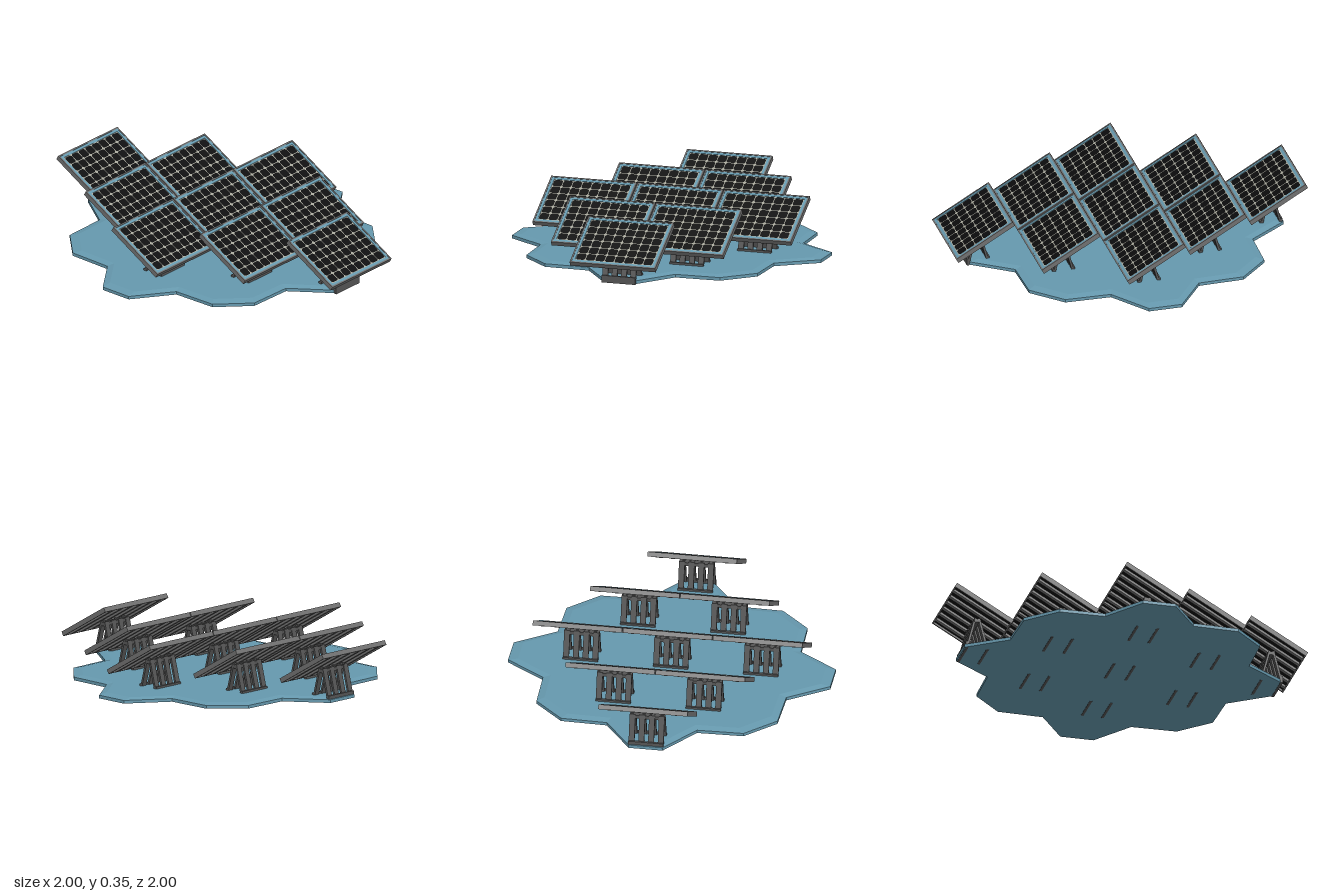
import * as THREE from 'three';

const mat = (color) => new THREE.MeshStandardMaterial({ color, flatShading: true });
const BLUE = mat(0x6699ae), STEEL = mat(0x555555), RIM = mat(0x707070);
const BLACK = mat(0x0b0b0c), LINE = mat(0xa8a89c);

const W = 0.56, D = 0.42, T = 0.03;   // panel width, slope length, thickness
const TILT = Math.PI / 6;

function add(parent, name, geometry, material, x = 0, y = 0, z = 0) {
  const mesh = new THREE.Mesh(geometry, material);
  mesh.name = name;
  mesh.position.set(x, y, z);
  parent.add(mesh);
  return mesh;
}

const rect = (w, h, Kind = THREE.Shape) => new Kind([
  [-w / 2, -h / 2], [w / 2, -h / 2], [w / 2, h / 2], [-w / 2, h / 2],
].map(([x, y]) => new THREE.Vector2(x, y)));

// Rectangular ring, used for the rim and the inner border
function ringGeometry(w, h, width, depth) {
  const shape = rect(w, h);
  shape.holes.push(rect(w - 2 * width, h - 2 * width, THREE.Path));
  return new THREE.ExtrudeGeometry(shape, { depth, bevelEnabled: false });
}

// Grid of square cells with clipped corners
function cellGeometry(cols, rows, w, h) {
  const shapes = [], px = w / cols, py = h / rows;
  const hx = px / 2 - 0.0022, hy = py / 2 - 0.0022, c = 0.009;
  for (let i = 0; i < cols; i++) {
    for (let j = 0; j < rows; j++) {
      const x = (i + 0.5) * px - w / 2, y = (j + 0.5) * py - h / 2;
      shapes.push(new THREE.Shape([
        [-hx + c, -hy], [hx - c, -hy], [hx, -hy + c], [hx, hy - c],
        [hx - c, hy], [-hx + c, hy], [-hx, hy - c], [-hx, -hy + c],
      ].map(([a, b]) => new THREE.Vector2(x + a, y + b))));
    }
  }
  return new THREE.ShapeGeometry(shapes);
}

const rimGeo = ringGeometry(W, D, 0.01, T);
const borderGeo = ringGeometry(W - 0.02, D - 0.02, 0.017, 0.012);
const sheetGeo = new THREE.BoxGeometry(W - 0.054, D - 0.054, 0.008);
const backGeo = new THREE.BoxGeometry(W - 0.02, D - 0.02, 0.006);
const cellsGeo = cellGeometry(8, 6, W - 0.058, D - 0.058);
const ribGeo = new THREE.BoxGeometry(0.028, D - 0.02, 0.014);

// Tilted panel, built facing +z and then leaned back
function createPanel() {
  const panel = new THREE.Group();
  panel.name = 'solarPanel';
  add(panel, 'panelRim', rimGeo, RIM, 0, 0, -T / 2);
  add(panel, 'panelBorder', borderGeo, BLUE, 0, 0, T / 2 - 0.014);
  add(panel, 'gridSheet', sheetGeo, LINE, 0, 0, T / 2 - 0.009);
  add(panel, 'cells', cellsGeo, BLACK, 0, 0, T / 2 - 0.0035);
  add(panel, 'backPlate', backGeo, BLACK, 0, 0, 0);
  for (let i = 0; i < 6; i++) {
    add(panel, 'backRib', ribGeo, RIM, (i - 2.5) * 0.086, 0, -0.01);
  }
  panel.rotation.x = -(Math.PI / 2 - TILT);
  panel.position.y = 0.235;
  return panel;
}

const footGeo = new THREE.BoxGeometry(0.22, 0.045, 0.016);
const beamGeo = new THREE.BoxGeometry(0.22, 0.022, 0.04);
const SPREAD = 0.065, TOP = 0.205, APEX = 0.012;
const strutGeo = new THREE.BoxGeometry(0.036, Math.hypot(TOP, SPREAD - APEX), 0.014);

// A-frame stand: two foot rails, four struts on each side, ridge beam
function createStand() {
  const stand = new THREE.Group();
  stand.name = 'stand';
  add(stand, 'ridgeBeam', beamGeo, STEEL, 0, TOP - 0.012, 0);
  for (const side of [-1, 1]) {
    add(stand, 'footRail', footGeo, STEEL, 0, 0.0225, side * SPREAD);
    for (let i = 0; i < 4; i++) {
      const strut = add(stand, 'strut', strutGeo, STEEL,
        (i - 1.5) * 0.061, TOP / 2 + 0.003, side * (SPREAD + APEX) / 2);
      strut.rotation.x = -side * Math.atan2(SPREAD - APEX, TOP);
    }
  }
  return stand;
}

// Lobed base plate with a shallow bevel on top
function createPlatform() {
  const platform = new THREE.Group();
  platform.name = 'platform';
  const quarter = [[0.13, -0.94], [0.34, -0.74], [0.64, -0.79], [0.79, -0.64], [0.74, -0.34], [0.94, -0.13]];
  const points = [];
  for (let q = 0; q < 4; q++) {
    for (const [x, z] of quarter) {
      points.push(new THREE.Vector2(x, -z).rotateAround(new THREE.Vector2(), -q * Math.PI / 2));
    }
  }
  const outline = new THREE.Shape(points);
  const layer = (depth, y, topScale) => {
    const geo = new THREE.ExtrudeGeometry(outline, { depth, bevelEnabled: false });
    const p = geo.attributes.position;
    for (let i = 0; i < p.count; i++) {
      if (p.getZ(i) > depth / 2) p.setXY(i, p.getX(i) * topScale, p.getY(i) * topScale);
    }
    geo.rotateX(-Math.PI / 2).translate(-0.008, y, -0.008);
    geo.computeVertexNormals();
    return geo;
  };
  add(platform, 'platformSlab', layer(0.02, 0.002, 1), BLUE);
  add(platform, 'platformBevel', layer(0.01, 0.022, 0.94), BLUE);
  return platform;
}

export function createModel() {
  const model = new THREE.Group();
  model.name = 'solarArray';
  model.add(createPlatform());

  // Rows of 1, 2, 3, 2, 1 panels, turned to the diagonal
  const field = new THREE.Group();
  field.name = 'panelField';
  field.rotation.y = Math.PI / 4;
  for (let row = -2; row <= 2; row++) {
    const count = 3 - Math.abs(row);
    for (let i = 0; i < count; i++) {
      const unit = new THREE.Group();
      unit.name = 'panelUnit';
      unit.add(createPanel(), createStand());
      unit.position.set((i - (count - 1) / 2) * 0.566, 0, row * 0.471);
      field.add(unit);
    }
  }
  model.add(field);
  return model;
}
